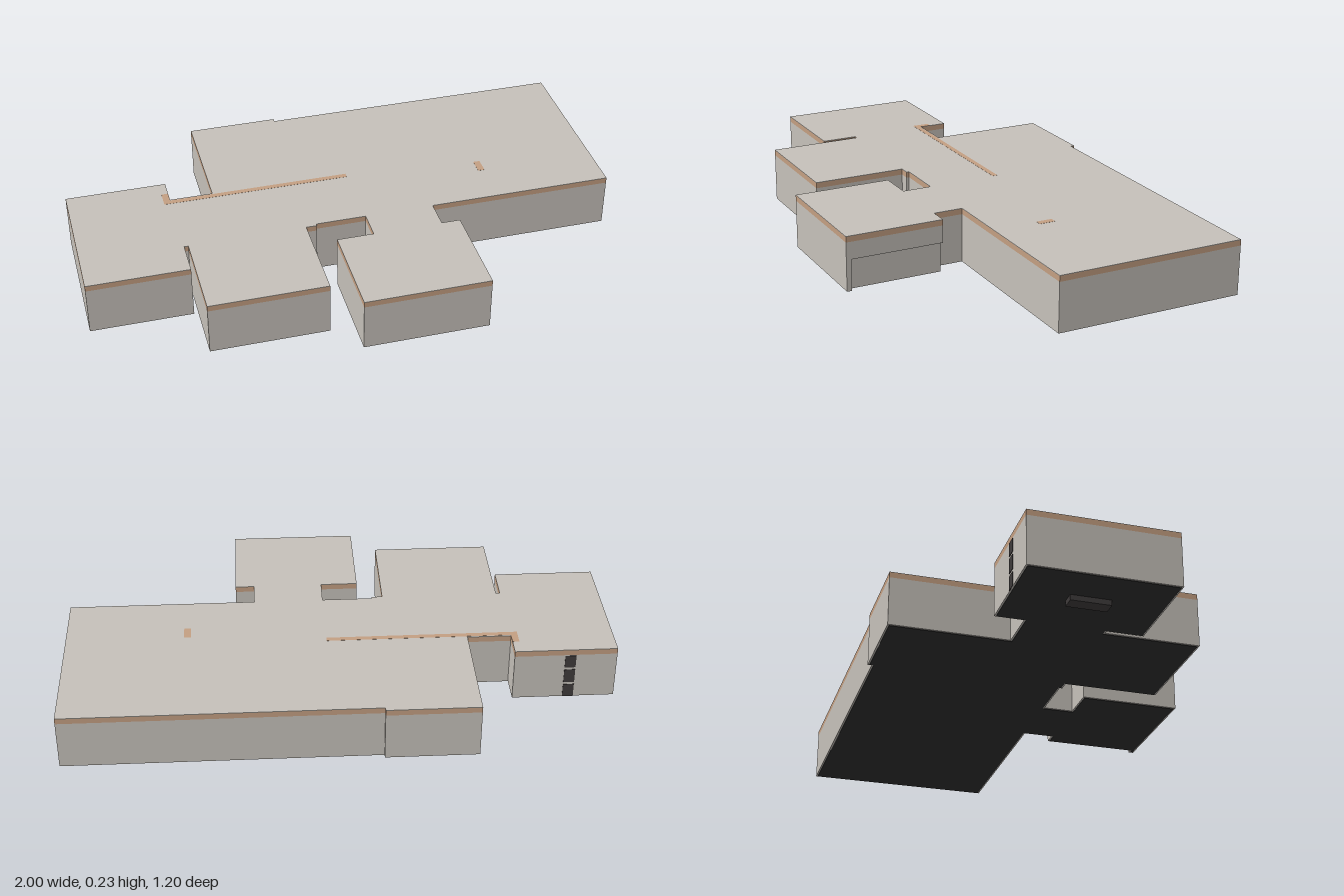
import * as THREE from 'three';

const mat = (name, color) => Object.assign(new THREE.MeshStandardMaterial({ color }), { name });

// Plan of the outer walls as [x, z] corners, all right angles.
const plan = (windowDepth = 0) => [
  [-1, -0.27], [-0.625, -0.27], [-0.625, -0.165], [-0.465, -0.165],
  [-0.465, -0.6], [-0.13, -0.6], [-0.13, -0.585], [1, -0.585],
  [1, 0.12], [0.31, 0.12], [0.31, 0.23],
  ...(windowDepth
    ? [[0.38 - windowDepth, 0.23], [0.38 - windowDepth, 0.578], [0.38, 0.578]]
    : [[0.38, 0.23]]),
  [0.38, 0.597], [-0.085, 0.597], [-0.085, 0.23], [0.052, 0.23],
  [0.052, 0.12], [-0.135, 0.12], [-0.135, 0.13], [-0.175, 0.13],
  [-0.175, 0.48], [-0.61, 0.48], [-0.61, 0.13], [-0.625, 0.13],
  [-0.625, 0.265], [-1, 0.265],
];

// Moves every edge of a plan inwards by d.
function inset(points, d) {
  const n = points.length;
  const normal = (a, b) => [-Math.sign(b[1] - a[1]) * d, Math.sign(b[0] - a[0]) * d];
  return points.map((p, i) => {
    const a = normal(points[(i + n - 1) % n], p);
    const b = normal(p, points[(i + 1) % n]);
    return [p[0] + a[0] + b[0], p[1] + a[1] + b[1]];
  });
}

export function createModel() {
  const group = new THREE.Group();
  group.name = 'building';
  const wall = mat('warm grey plaster', 0xc6c1ba);
  const tan = mat('tan trim', 0xc49f82);
  const floor = mat('dark floor', 0x303030);
  const dark = mat('charcoal', 0x3f3b3b);

  const add = (name, geometry, material) => {
    const mesh = new THREE.Mesh(geometry, material);
    mesh.name = name;
    group.add(mesh);
  };
  // Solid slab over a plan between two heights.
  const slab = (name, points, y0, y1, material) => {
    const shape = new THREE.Shape(points.map(([x, z]) => new THREE.Vector2(x, -z)));
    const g = new THREE.ExtrudeGeometry(shape, { depth: y1 - y0, bevelEnabled: false });
    add(name, g.rotateX(-Math.PI / 2).translate(0, y0, 0), material);
  };
  const box = (name, x0, x1, y0, y1, z0, z1, material) => {
    const g = new THREE.BoxGeometry(x1 - x0, y1 - y0, z1 - z0);
    add(name, g.translate((x0 + x1) / 2, (y0 + y1) / 2, (z0 + z1) / 2), material);
  };

  // Main storey, with a recessed window bay in the front room
  slab('lowerWalls', plan(0.02), 0.022, 0.138, wall);
  slab('upperWalls', plan(), 0.138, 0.203, wall);
  slab('eavesBand', plan(), 0.203, 0.223, tan);
  slab('roof', plan(), 0.223, 0.225, wall);
  slab('floor', inset(plan(0.02), 0.006), 0.02, 0.023, floor);

  // Tops of inner walls showing in the roof: [x0, x1, z0, z1]
  const strips = [
    [-0.65, 0.05, -0.16, -0.14], [-0.65, -0.625, -0.205, -0.16],
    [0.545, 0.57, -0.11, -0.05],
  ];
  for (const [x0, x1, z0, z1] of strips) {
    box('innerWallTop', x0, x1, 0.2245, 0.2255, z0, z1, tan);
  }

  // Dark shaft foot below the side wing and its door in the back wall
  box('shaftFoot', -0.85, -0.8, 0, 0.022, -0.075, 0.07, dark);
  for (const [y0, y1] of [[0.022, 0.075], [0.085, 0.14], [0.15, 0.2]]) {
    box('backDoorPanel', -0.85, -0.81, y0, y1, -0.272, -0.268, dark);
  }
  return group;
}
